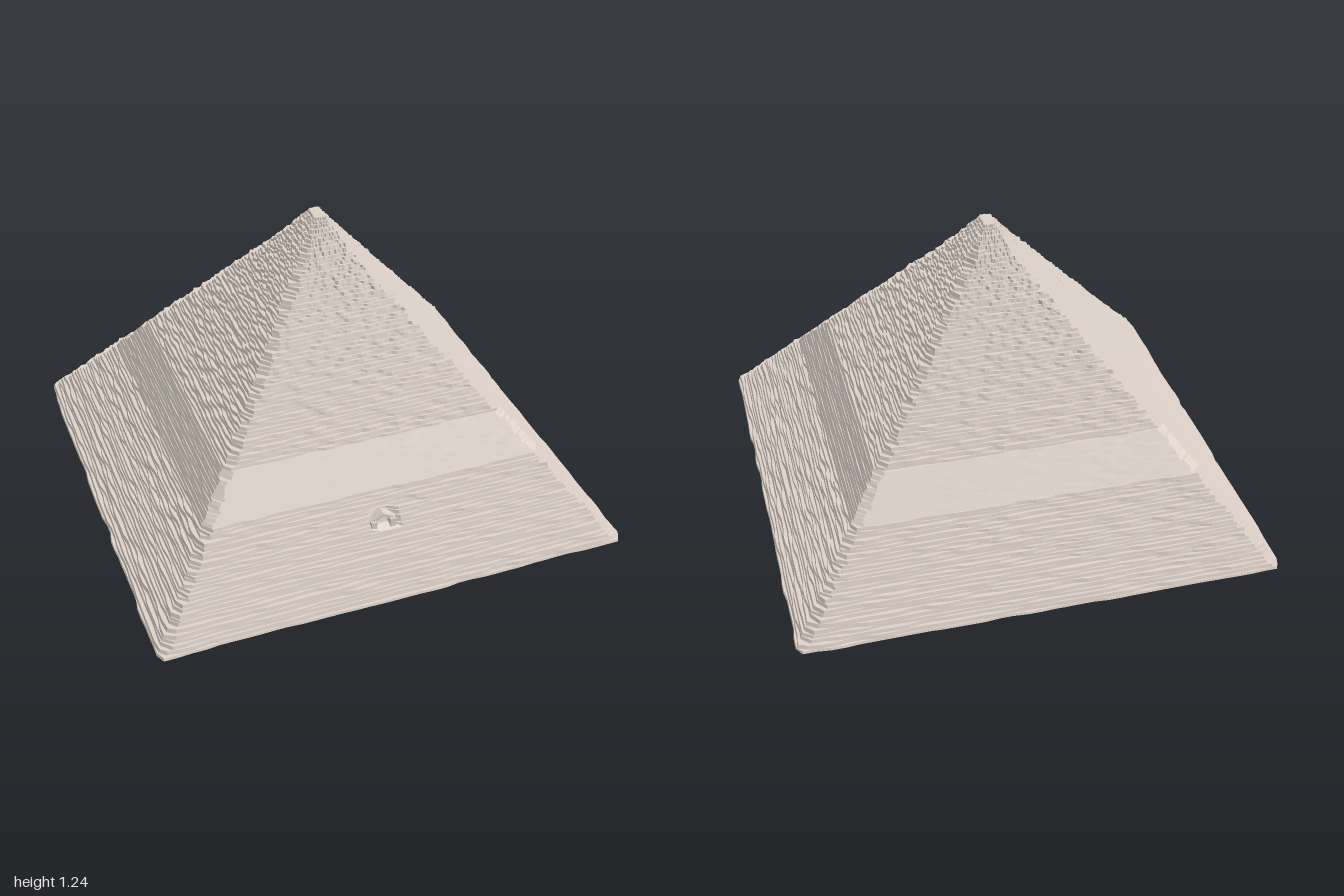
import * as THREE from 'three';

const HEIGHT = 1.24, COURSES = 96, PER_SIDE = 36;

// Repeatable noise in 0..1 from two integers
function hash(a, b) {
  const s = Math.sin(a * 127.1 + b * 311.7) * 43758.5453;
  return s - Math.floor(s);
}

// Half width in x and half depth in z at height y
const halfX = y => THREE.MathUtils.lerp(0.998, 0.02, y / HEIGHT);
const halfZ = y => THREE.MathUtils.lerp(0.968, 0.04, y / HEIGHT);

// One horizontal ring of stones with worn corners, counterclockwise from above
function addRing(out, y, level, course, rough) {
  const hx = halfX(level), hz = halfZ(level);
  const cut = Math.min(0.04, 0.3 * hx);
  for (let side = 0; side < 4; side++) {
    const along = side % 2 ? hz : hx, away = side % 2 ? hx : hz;
    for (let i = 0; i < PER_SIDE; i++) {
      const t = (i / (PER_SIDE - 1)) * 2 - 1;
      const stone = Math.floor((i + course % 2) / 2) + side * 50;
      const u = t * (along - cut * (0.6 + 0.6 * hash(course, side)));
      let d = away - rough * hash(stone, course);
      // shallow hollow around the entrance
      if (side === 0 && Math.abs(u) < 0.06 && y > 0.225 && y < 0.29) d -= 0.025;
      const p = [[u, d], [d, -u], [-u, -d], [-d, u]][side];
      out.push(p[0], y, p[1]);
    }
  }
}

// Open-bottomed shell of stepped courses
function steppedShell() {
  const pos = [], index = [], n = PER_SIDE * 4;
  const heights = [0];
  for (let c = 0; c < COURSES; c++) heights.push(heights[c] + 0.7 + 0.6 * hash(c, 7));
  const scale = HEIGHT / heights[COURSES];

  for (let c = 0; c < COURSES; c++) {
    const y0 = heights[c] * scale, y1 = heights[c + 1] * scale;
    const smooth = y0 > 0.35 && y0 < 0.5; // better preserved band
    const rough = Math.min(smooth ? 0.003 : 0.011, 0.25 * halfX(y0));
    const lean = smooth ? 0.8 : 0.35;
    addRing(pos, y0, y0, c, rough);
    addRing(pos, y1, THREE.MathUtils.lerp(y0, y1, lean), c, rough);
  }
  const rings = COURSES * 2;
  for (let r = 0; r < rings - 1; r++) {
    for (let i = 0; i < n; i++) {
      const j = (i + 1) % n, a = r * n + i, b = r * n + j;
      index.push(a, b, a + n, b, b + n, a + n);
    }
  }
  // flat summit
  const tip = pos.length / 3, last = (rings - 1) * n;
  pos.push(0, HEIGHT, 0);
  for (let i = 0; i < n; i++) index.push(last + i, last + (i + 1) % n, tip);

  const g = new THREE.BufferGeometry();
  g.setAttribute('position', new THREE.Float32BufferAttribute(pos, 3));
  g.setIndex(index);
  g.computeVertexNormals();
  return g;
}

export function createModel() {
  const group = new THREE.Group();
  group.name = 'pyramid';
  const stone = new THREE.MeshStandardMaterial({
    color: 0xded2c9, flatShading: true, side: THREE.DoubleSide,
  });

  const shell = new THREE.Mesh(steppedShell(), stone);
  shell.name = 'stoneCourses';
  group.add(shell);

  // Small entrance: two jambs and a pair of leaning lintel stones
  const entrance = new THREE.Group();
  entrance.name = 'entrance';
  entrance.position.set(-0.01, 0.225, 0.77);
  for (const s of [-1, 1]) {
    const jamb = new THREE.Mesh(new THREE.BoxGeometry(0.025, 0.04, 0.04), stone);
    jamb.name = 'entranceJamb';
    jamb.position.set(s * 0.04, 0.02, 0);
    const lintel = new THREE.Mesh(new THREE.BoxGeometry(0.055, 0.015, 0.04), stone);
    lintel.name = 'entranceLintel';
    lintel.position.set(s * 0.021, 0.048, -0.01);
    lintel.rotation.z = -s * 0.5;
    entrance.add(jamb, lintel);
  }
  group.add(entrance);
  return group;
}
